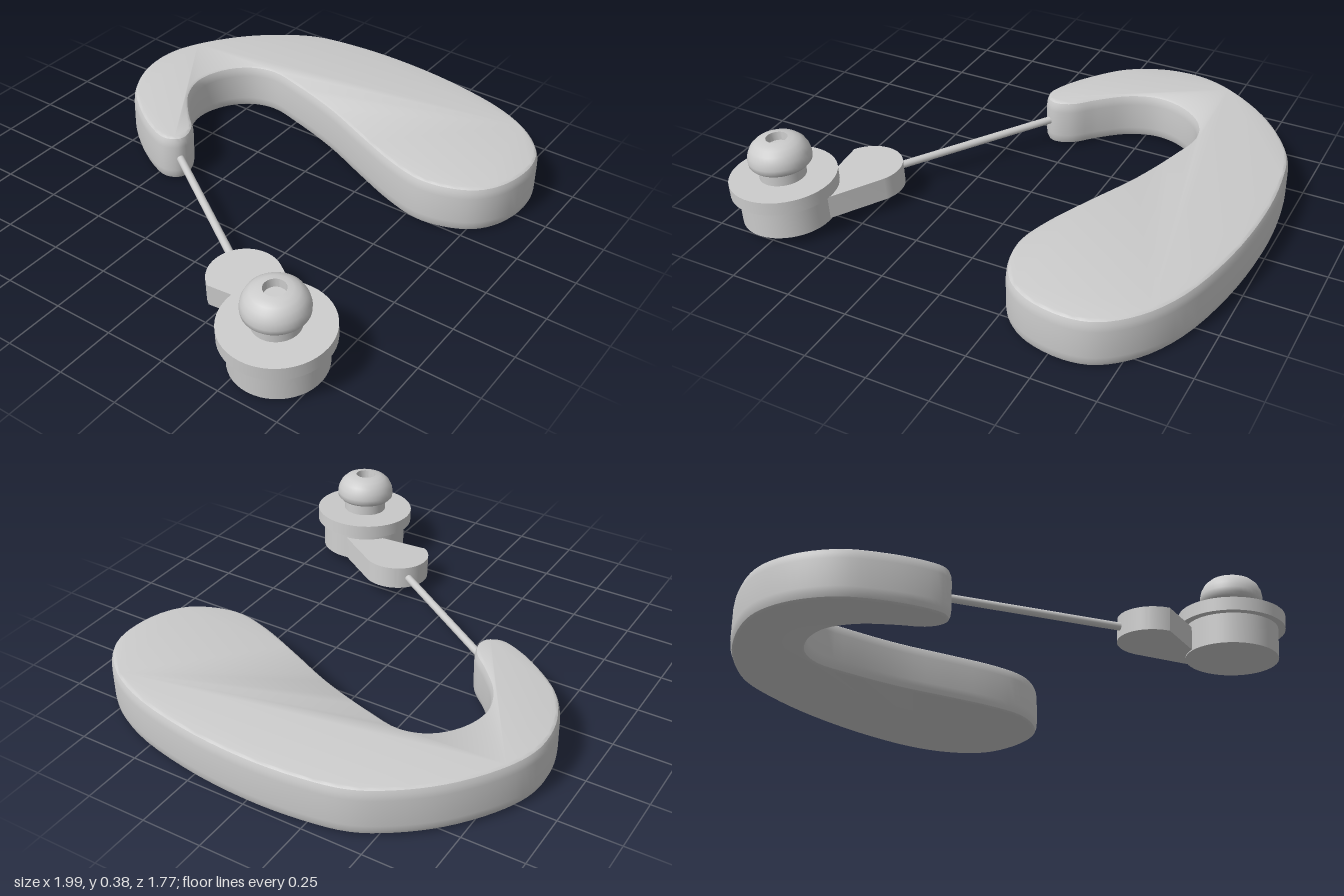
import * as THREE from 'three';
import { toCreasedNormals } from 'three/addons/utils/BufferGeometryUtils.js';

const material = new THREE.MeshStandardMaterial({ color: 0xcccccc });

function add(parent, name, geometry, x = 0, y = 0, z = 0) {
  const mesh = new THREE.Mesh(geometry, material);
  mesh.name = name;
  mesh.position.set(x, y, z);
  parent.add(mesh);
  return mesh;
}

// Upright cylinder standing on height y0
function disc(parent, name, radius, y0, y1) {
  add(parent, name, new THREE.CylinderGeometry(radius, radius, y1 - y0, 48), 0, (y0 + y1) / 2, 0);
}

// Extrudes a plan drawn in (x, z) and lays it flat, centred on y = 0
function slab(shape, options) {
  const geometry = new THREE.ExtrudeGeometry(shape, options);
  geometry.rotateX(Math.PI / 2);
  geometry.translate(0, options.depth / 2, 0);
  return toCreasedNormals(geometry, 0.6);
}

// Hooked body that sits behind the ear: closed outline in (x, z)
const bodyOutline = [
  [-0.142, -0.45], [-0.115, -0.39], [-0.07, -0.375], [0, -0.40], [0.08, -0.48], [0.19, -0.57],
  [0.31, -0.607], [0.43, -0.575], [0.52, -0.495], [0.553, -0.39], [0.52, -0.24],
  [0.445, -0.01], [0.35, 0.20], [0.265, 0.40], [0.227, 0.55], [0.243, 0.67],
  [0.30, 0.78], [0.40, 0.85], [0.56, 0.88], [0.68, 0.853], [0.80, 0.75],
  [0.895, 0.58], [0.965, 0.30], [0.992, 0], [0.98, -0.24], [0.945, -0.415],
  [0.87, -0.55], [0.75, -0.69], [0.59, -0.81], [0.46, -0.87], [0.35, -0.885],
  [0.22, -0.865], [0.08, -0.795], [-0.02, -0.69], [-0.11, -0.55],
];

function createBody(parent) {
  const curve = new THREE.CatmullRomCurve3(
    bodyOutline.map(([x, z]) => new THREE.Vector3(x, z, 0)), true);
  const points = curve.getPoints(140).slice(0, -1).map((p) => new THREE.Vector2(p.x, p.y));
  const geometry = slab(new THREE.Shape(points), {
    depth: 0.114, bevelEnabled: true, bevelThickness: 0.045,
    bevelSize: 0.018, bevelOffset: -0.018, bevelSegments: 3,
  });
  add(parent, 'body', geometry, 0, 0.107, 0).rotation.x = 0.005;
}

// Slightly tilted earpiece: base, tab, flange, stem and dome
function createEarpiece(parent) {
  const ear = new THREE.Group();
  ear.name = 'earpiece';
  ear.position.set(-0.775, 0.03, 0.596);
  ear.rotation.z = 0.07;
  parent.add(ear);

  disc(ear, 'base', 0.185, 0, 0.13);
  disc(ear, 'flange', 0.214, 0.125, 0.18);
  disc(ear, 'stem', 0.093, 0.17, 0.25);

  // Round-ended tab that takes the wire
  const tipX = 0.195, tipZ = -0.29, r = 0.143;
  const across = Math.atan2(tipX, -tipZ);
  const tab = new THREE.Shape();
  tab.moveTo(-r * Math.cos(across), -r * Math.sin(across));
  tab.absarc(tipX, tipZ, r, across + Math.PI, across + 2 * Math.PI, false);
  tab.lineTo(r * Math.cos(across), r * Math.sin(across));
  add(ear, 'tab', slab(tab, { depth: 0.096, bevelEnabled: false, curveSegments: 24 }), 0, 0.053, 0);

  // Rounded tip with a sound hole sunk into the top
  const profile = [
    [0, 0.228], [0.085, 0.228], [0.113, 0.233], [0.124, 0.245], [0.126, 0.265], [0.121, 0.29],
    [0.108, 0.315], [0.088, 0.333], [0.065, 0.342], [0.043, 0.345], [0.041, 0.31], [0, 0.31],
  ].map(([x, y]) => new THREE.Vector2(x, y));
  add(ear, 'dome', toCreasedNormals(new THREE.LatheGeometry(profile, 40), 0.7));
}

export function createModel() {
  const model = new THREE.Group();
  model.name = 'hearingAid';
  createBody(model);
  createEarpiece(model);

  // Thin wire from the hook's end to the earpiece tab
  const wire = new THREE.LineCurve3(
    new THREE.Vector3(-0.09, 0.11, -0.41), new THREE.Vector3(-0.54, 0.098, 0.25));
  add(model, 'wire', new THREE.TubeGeometry(wire, 1, 0.016, 16));
  return model;
}
